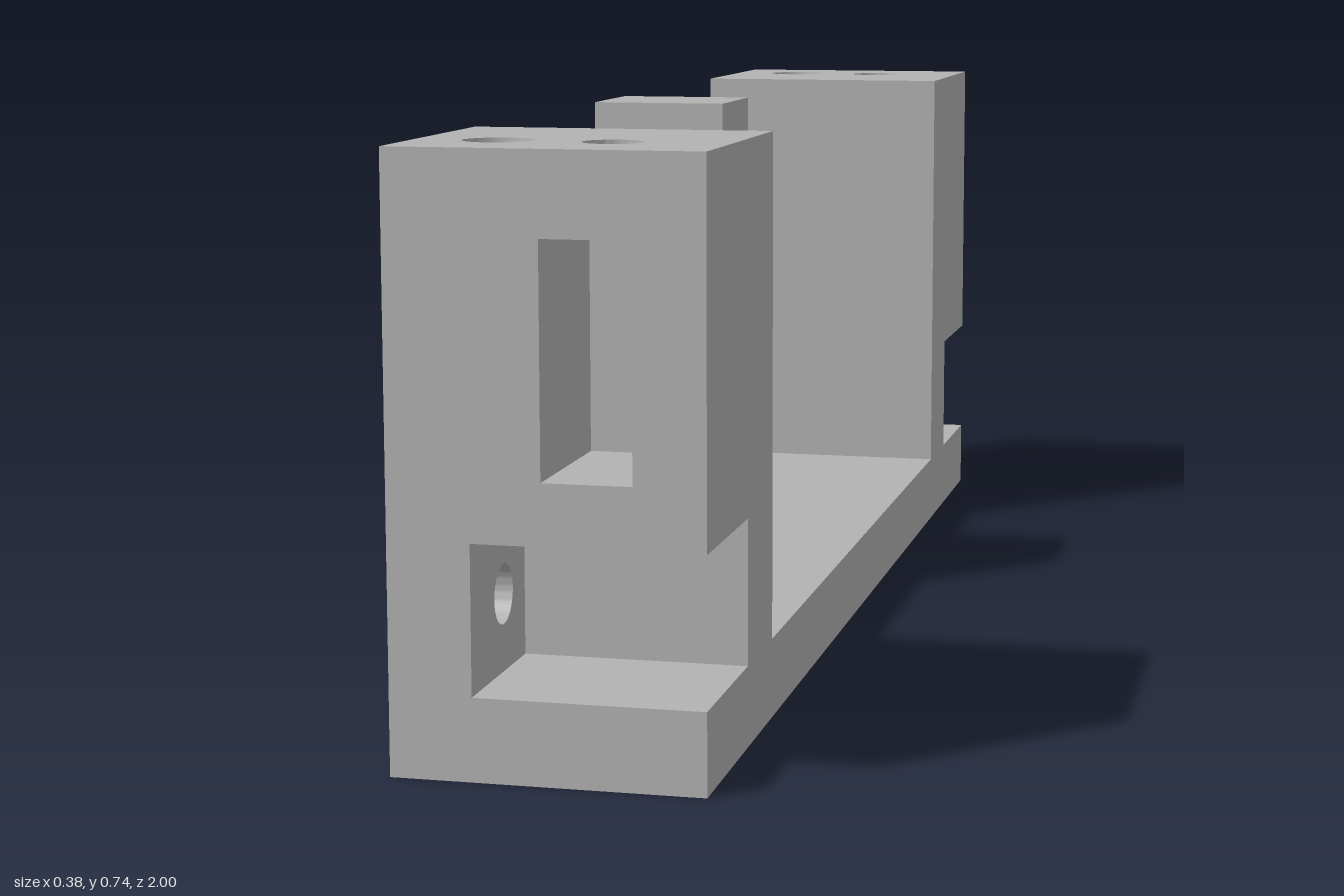
import * as THREE from 'three';
import { toCreasedNormals } from 'three/addons/utils/BufferGeometryUtils.js';

const W = 0.192;        // half width
const BASE = 0.102;     // base plate height
const TOP = 0.743;      // tower height
const INNER = 0.645;    // inner face of a tower
const POCKET = 0.786;   // back wall of notch and slot
const HOLE_Z = 0.872;   // line of the drilled holes
const DIMPLE = { x: -0.09, r: 0.043 };

function polygon(points) {
  return new THREE.Shape(points.map(([x, y]) => new THREE.Vector2(x, y)));
}

function rect(x0, y0, x1, y1) {
  return polygon([[x0, y0], [x1, y0], [x1, y1], [x0, y1]]);
}

function drill(shape, x, y, r) {
  const hole = new THREE.Path();
  hole.absarc(x, y, r, 0, Math.PI * 2, true);
  shape.holes.push(hole);
}

function extrude(shape, depth) {
  const geo = new THREE.ExtrudeGeometry(shape, { depth, bevelEnabled: false, curveSegments: 32 });
  return toCreasedNormals(geo, 0.6);
}

// Shape drawn in (-z, y), extruded from x0 to x1
function alongX(shape, x0, x1) {
  return extrude(shape, x1 - x0).rotateY(Math.PI / 2).translate(x0, 0, 0);
}

// Shape drawn in (x, -z), extruded from y0 to y1
function alongY(shape, y0, y1) {
  return extrude(shape, y1 - y0).rotateX(-Math.PI / 2).translate(0, y0, 0);
}

export function createModel() {
  const model = new THREE.Group();
  model.name = 'bracket';
  const grey = new THREE.MeshStandardMaterial({ color: 0xb2b2b2 });
  grey.name = 'grey';

  function add(parent, name, geometry) {
    const mesh = new THREE.Mesh(geometry, grey);
    mesh.name = name;
    parent.add(mesh);
    return mesh;
  }

  // Base plate with the solid inner part of both towers
  add(model, 'baseFrame', alongX(polygon([
    [-1, 0], [1, 0], [1, BASE], [POCKET, BASE], [POCKET, TOP], [INNER, TOP], [INNER, BASE],
    [-INNER, BASE], [-INNER, TOP], [-POCKET, TOP], [-POCKET, BASE], [-1, BASE],
  ]), -W, W));

  // Middle post on one half of the base
  add(model, 'middlePost', alongX(rect(-0.084, BASE, 0.084, TOP), -W, -0.002));

  // Outer part of each tower, mirrored front to back
  for (const side of [1, -1]) {
    const tower = new THREE.Group();
    tower.name = side > 0 ? 'frontTower' : 'backTower';
    model.add(tower);
    const near = -side * POCKET, far = -side;
    const v0 = Math.min(near, far), v1 = Math.max(near, far);

    // Wall beside the notch, with a cross hole
    const wall = rect(v0, BASE, v1, 0.285);
    drill(wall, -side * HOLE_Z, 0.197, 0.037);
    add(tower, 'notchWall', alongX(wall, -W, -0.09));

    // Block around the upright slot
    const block = extrude(polygon([
      [-W, 0.285], [W, 0.285], [W, 0.641], [0.105, 0.641],
      [0.105, 0.36], [-0.004, 0.36], [-0.004, 0.641], [-W, 0.641],
    ]), 1 - POCKET).translate(0, 0, side > 0 ? POCKET : -1);
    add(tower, 'slotBlock', block);

    // Cap with a hole into the slot and a round dimple
    const cap = rect(-W, v0, W, v1);
    drill(cap, 0.05, -side * HOLE_Z, 0.037);
    drill(cap, DIMPLE.x, -side * HOLE_Z, DIMPLE.r);
    add(tower, 'cap', alongY(cap, 0.641, TOP));

    // Dimple surface, profile runs downward so it faces inward
    const profile = [];
    for (let i = 0; i <= 12; i++) {
      const a = (i / 12) * Math.PI / 2;
      profile.push(new THREE.Vector2(i === 12 ? 0 : DIMPLE.r * Math.cos(a), -DIMPLE.r * Math.sin(a)));
    }
    add(tower, 'dimple', new THREE.LatheGeometry(profile, 32))
      .position.set(DIMPLE.x, TOP, side * HOLE_Z);
  }
  return model;
}
